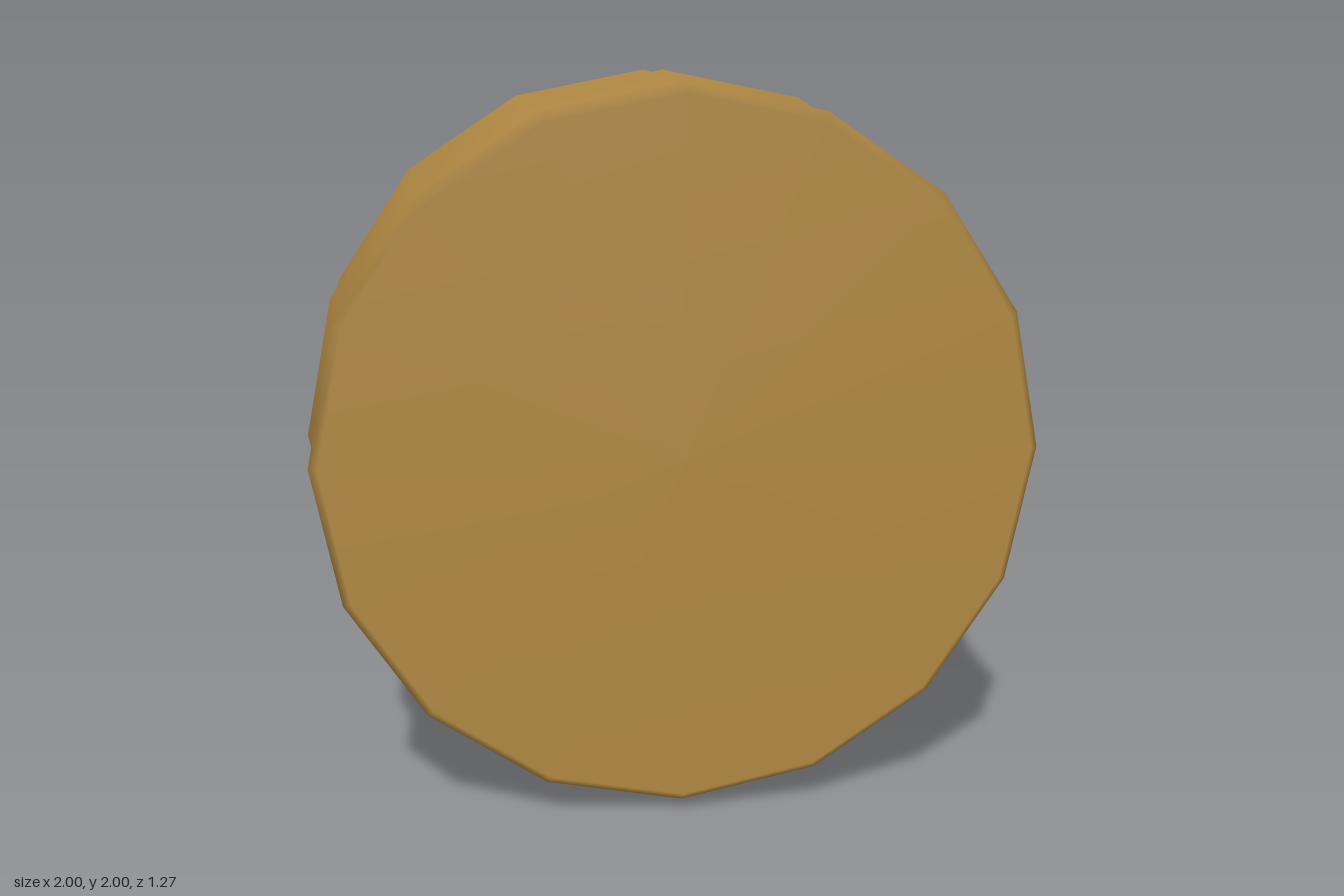
import * as THREE from 'three';

const SIDES = 16;

export function createModel() {
  const model = new THREE.Group();
  const straw = new THREE.MeshStandardMaterial({ color: 0xb08842 });
  straw.name = 'straw';
  const twine = new THREE.MeshStandardMaterial({ color: 0x4a3812 });
  twine.name = 'twine';

  // Bale: profile of [radius, z], pinched where the twine is tied
  const profile = [
    [0, -0.635], [0.945, -0.635], [0.97, -0.61], [0.945, -0.44], [1, -0.227],
    [0.945, -0.012], [1, 0.21], [0.945, 0.432], [0.97, 0.61], [0.945, 0.635], [0, 0.635],
  ].map(([r, z]) => new THREE.Vector2(r, z));
  const baleGeometry = new THREE.LatheGeometry(profile, SIDES).rotateX(Math.PI / 2);
  const bale = new THREE.Mesh(baleGeometry, straw);
  bale.name = 'bale';
  bale.position.y = 1;
  model.add(bale);

  // Three loops of twine in the pinches
  const loopGeometry = new THREE.TorusGeometry(0.941, 0.016, 6, SIDES);
  [['backTwine', -0.441], ['middleTwine', -0.014], ['frontTwine', 0.431]].forEach(([name, z]) => {
    const loop = new THREE.Mesh(loopGeometry, twine);
    loop.name = name;
    loop.position.set(0, 1, z);
    model.add(loop);
  });

  return model;
}
